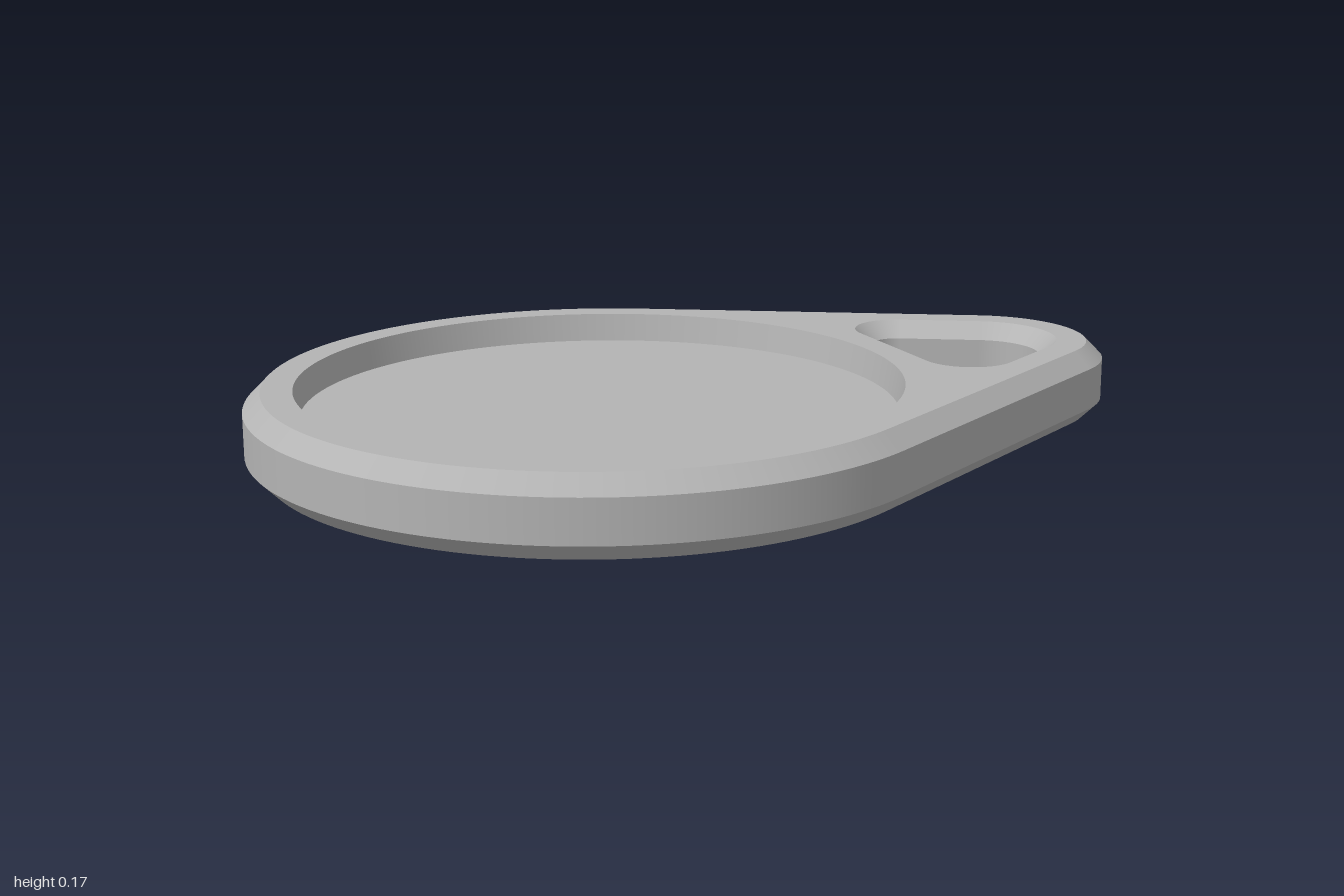
import * as THREE from 'three';

const HEIGHT = 0.17, CHAMFER = 0.038, FLOOR = 0.106;

// Each outline is a chain of arcs [centre x, centre z, radius, start degree, end degree, steps]
// joined by tangent lines.
const OUTER = [[-0.24, 0, 0.76, 60, 300, 96], [0.72, 0, 0.28, 300, 420, 32]];
const HOLE = [[0.72, 0, 0.136, -60, 60, 24], [0.59, 0.154, 0.068, 60, 180, 24], [0.59, -0.154, 0.068, 180, 300, 24]];
const RECESS = [[-0.238, 0, 0.656, 0, 360, 128]];

// Points of an outline grown by an offset, each with its outward angle
function outline(arcs, offset = 0) {
  const points = [];
  for (const [cx, cz, r, from, to, steps] of arcs) {
    for (let i = 0; i <= steps; i++) {
      const a = THREE.MathUtils.degToRad(from + (to - from) * i / steps);
      points.push({ x: cx + (r + offset) * Math.cos(a), z: cz + (r + offset) * Math.sin(a), a });
    }
  }
  return points;
}

// Band around an outline between two [offset, y] levels; upward faces out, downward faces in
function band(arcs, [o0, y0], [o1, y1]) {
  const low = outline(arcs, o0), high = outline(arcs, o1), n = low.length;
  const position = [], normal = [], index = [];
  const length = Math.hypot(o1 - o0, y1 - y0);
  const side = (y1 - y0) / length, up = (o0 - o1) / length;
  for (let i = 0; i < n; i++) {
    const { a } = low[i];
    position.push(low[i].x, y0, low[i].z, high[i].x, y1, high[i].z);
    for (let k = 0; k < 2; k++) normal.push(side * Math.cos(a), up, side * Math.sin(a));
    const p = 2 * i, q = 2 * ((i + 1) % n);
    index.push(p, p + 1, q, q, p + 1, q + 1);
  }
  const geometry = new THREE.BufferGeometry();
  geometry.setAttribute('position', new THREE.Float32BufferAttribute(position, 3));
  geometry.setAttribute('normal', new THREE.Float32BufferAttribute(normal, 3));
  geometry.setIndex(index);
  return geometry;
}

// Flat face at a height, facing up or down
function face(boundary, holes, y, facingUp) {
  const toPoints = (loop) => loop.map((p) => new THREE.Vector2(p.x, p.z));
  const shape = new THREE.Shape(toPoints(boundary));
  for (const hole of holes) shape.holes.push(new THREE.Path(toPoints(hole)));
  return new THREE.ShapeGeometry(shape).rotateX(facingUp ? -Math.PI / 2 : Math.PI / 2).translate(0, y, 0);
}

export function createModel() {
  const model = new THREE.Group();
  model.name = 'keyTag';
  const grey = new THREE.MeshStandardMaterial({ color: 0xb4b4b4 });
  grey.name = 'grey';

  const add = (name, geometry) => {
    const mesh = new THREE.Mesh(geometry, grey);
    mesh.name = name;
    model.add(mesh);
  };

  // Teardrop rim with chamfers at both edges
  const c = CHAMFER, h = HEIGHT;
  const rim = [[-c, 0], [0, c], [0, h - c], [-c, h]];
  // Strap hole, widening towards both faces
  const bore = [[c, h], [0, h - c], [0, c], [c, 0]];
  ['LowerChamfer', 'Wall', 'UpperChamfer'].forEach((part, i) => add('rim' + part, band(OUTER, rim[i], rim[i + 1])));
  ['UpperChamfer', 'Wall', 'LowerChamfer'].forEach((part, i) => add('strapHole' + part, band(HOLE, bore[i], bore[i + 1])));

  // Top and bottom faces
  add('topFace', face(outline(OUTER, -c), [outline(HOLE, c), outline(RECESS).slice(0, -1)], h, true));
  add('bottomFace', face(outline(OUTER, -c), [outline(HOLE, c)], 0, false));

  // Round recess with a slightly tapered wall
  add('recessWall', band(RECESS, [0, h], [-0.011, FLOOR]));
  add('recessFloor', face(outline(RECESS, -0.011).slice(0, -1), [], FLOOR, true));

  return model;
}
